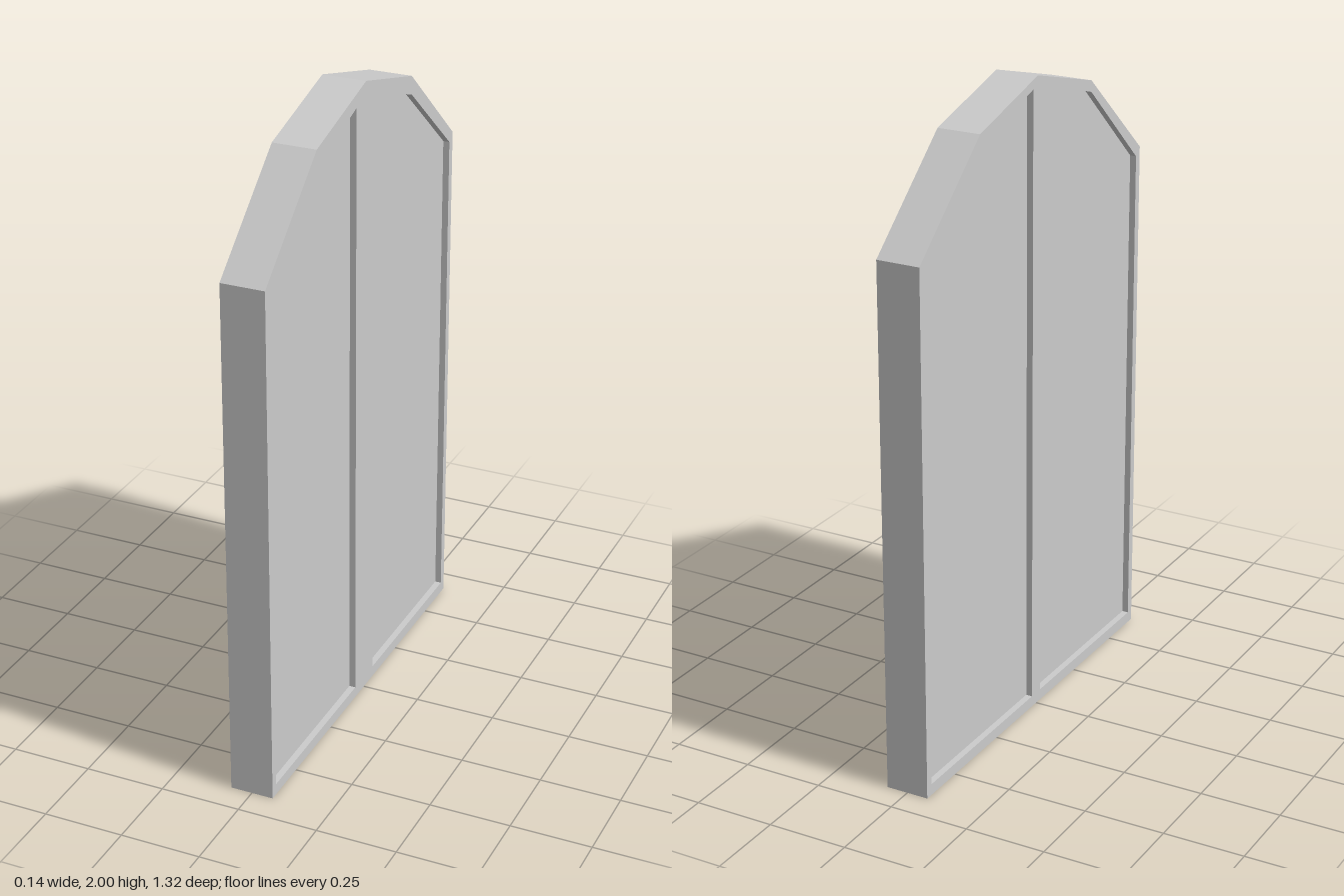
import * as THREE from 'three';

const HALF = 0.0675;   // half the slab thickness
const RECESS = 0.02;   // depth of the sunken panels

// Outline of the whole slab, drawn in the (z, y) plane
const OUTLINE = [[-0.66, 0], [0.66, 0], [0.66, 1.625], [0.33, 1.91], [0, 2], [-0.33, 1.91], [-0.66, 1.625]];

const toPoints = (list) => list.map(([x, y]) => new THREE.Vector2(x, y));

// One panel opening; side mirrors it about the centre post
function opening(side, inner, corner, peak) {
  const pts = [[inner, 0.035], [0.635, 0.035], [0.635, 1.6], [0.33, corner], [inner, peak]];
  return new THREE.Path(toPoints(pts.map(([x, y]) => [x * side, y]))).closePath();
}

export function createModel() {
  const model = new THREE.Group();
  model.name = 'archedDoubleDoor';
  const material = new THREE.MeshStandardMaterial({ color: 0xcccccc, flatShading: true });

  // Extrudes a shape along x between two depths
  function layer(name, holes, from, to) {
    const shape = new THREE.Shape(toPoints(OUTLINE));
    shape.holes.push(...holes);
    const geometry = new THREE.ExtrudeGeometry(shape, { depth: to - from, bevelEnabled: false });
    geometry.translate(0, 0, from).rotateY(Math.PI / 2);
    const mesh = new THREE.Mesh(geometry, material);
    mesh.name = name;
    model.add(mesh);
  }

  // Core slab, whose faces show as the sunken panels
  layer('doorPanels', [], -HALF + RECESS, HALF - RECESS);

  // Raised frames: a wide centre post on +x, a narrow one on -x
  layer('leftFrame', [1, -1].map((s) => opening(s, 0.066, 1.853, 1.942)), HALF - RECESS, HALF);
  layer('rightFrame', [1, -1].map((s) => opening(s, 0.027, 1.875, 1.965)), -HALF, -HALF + RECESS);

  return model;
}
